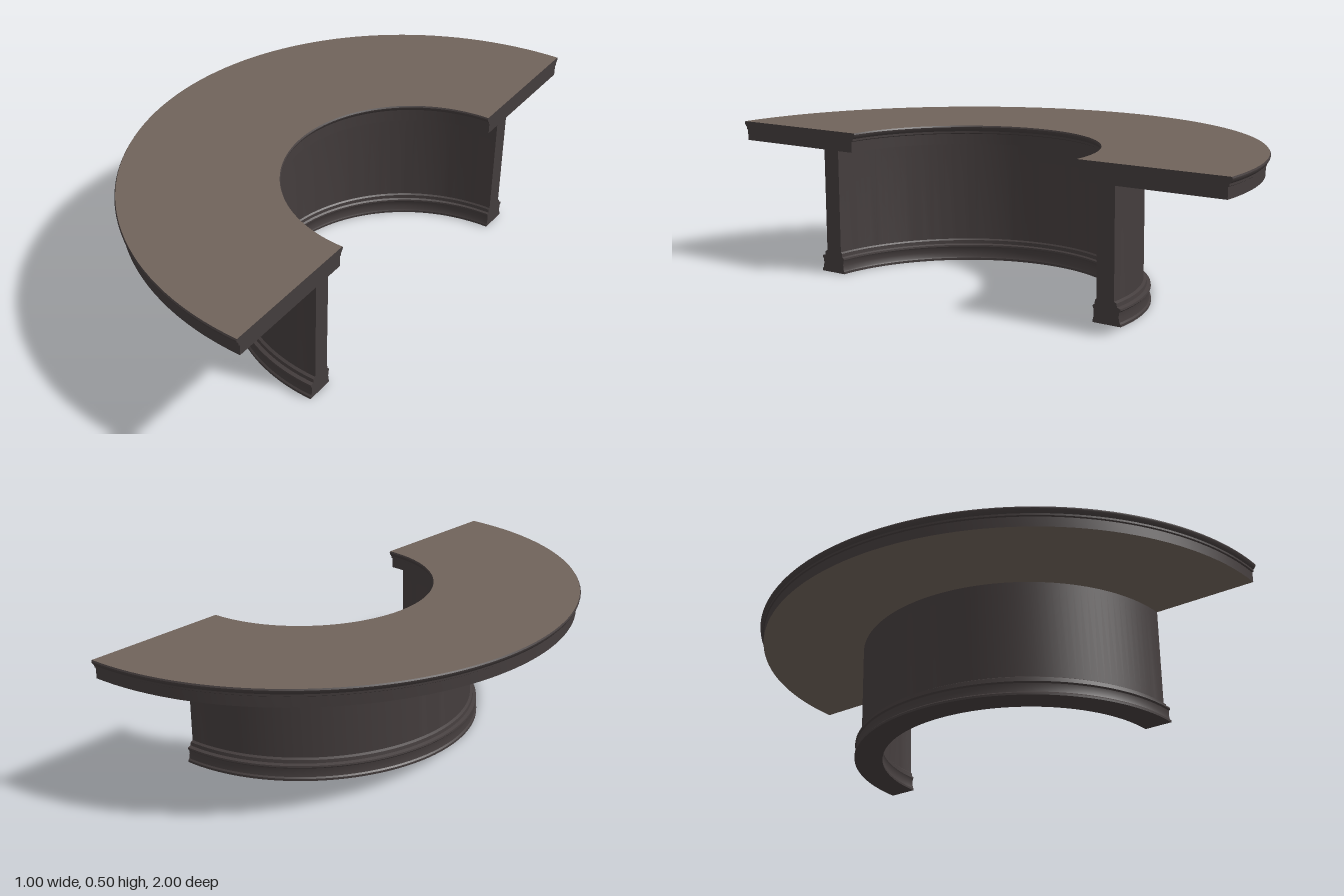
import * as THREE from 'three';
import { toCreasedNormals } from 'three/addons/utils/BufferGeometryUtils.js';

const SEGMENTS = 72;

export function createModel() {
  const darkWood = new THREE.MeshStandardMaterial({ color: 0x443d3d });
  darkWood.name = 'darkWood';
  const brownTop = new THREE.MeshStandardMaterial({ color: 0x70635a });
  brownTop.name = 'brownTop';

  const desk = new THREE.Group();
  desk.name = 'halfRoundCounter';

  const add = (geometry, material, name) => {
    const mesh = new THREE.Mesh(geometry, material);
    mesh.name = name;
    desk.add(mesh);
    return mesh;
  };

  // Sweep a [radius, height] profile through the half circle on the -x side
  const sweep = (profile, material, name) => {
    const points = profile.map(([r, y]) => new THREE.Vector2(r, y));
    const lathe = new THREE.LatheGeometry(points, SEGMENTS, Math.PI, Math.PI);
    return add(toCreasedNormals(lathe, 0.45), material, name);
  };

  // Close both cut ends of a profile with flat faces towards +x
  const capEnds = (profile, name) => {
    for (const side of [-1, 1]) {
      const shape = new THREE.Shape(profile.map(([r, y]) => new THREE.Vector2(r * side, y)));
      const cap = add(new THREE.ShapeGeometry(shape), darkWood, name + (side > 0 ? 'Back' : 'Front'));
      cap.rotation.y = Math.PI / 2;
    }
  };

  // Curved wall with a moulded plinth outside and a shallower one inside
  const wallOuter = [
    [0.628, 0], [0.628, 0.008], [0.623, 0.013], [0.62, 0.03], [0.622, 0.045],
    [0.627, 0.05], [0.626, 0.056], [0.614, 0.06], [0.612, 0.072], [0.603, 0.077], [0.603, 0.437],
  ];
  const wallInner = wallOuter.map(([r, y]) => [0.538 - (r - 0.603) * 0.55, y]).reverse();
  const wall = [...wallOuter, ...wallInner];
  sweep(wallOuter, darkWood, 'outerWall');
  sweep(wallInner, darkWood, 'innerWall');
  sweep([wallInner.at(-1), wallOuter[0]], darkWood, 'wallBottom');
  capEnds(wall, 'wallEnd');

  // Countertop with moulded rims
  const rim = [
    [0.985, 0.437], [0.985, 0.474], [0.99, 0.477], [0.99, 0.484],
    [0.994, 0.488], [0.999, 0.495], [1, 0.5], [0.997, 0.505],
  ];
  const innerRim = rim.map(([r, y]) => [1.459 - r, y]).reverse();
  sweep(rim, darkWood, 'outerRim');
  sweep(innerRim, darkWood, 'innerRim');
  sweep([rim.at(-1), innerRim[0]], brownTop, 'counterTop');
  sweep([innerRim.at(-1), rim[0]], brownTop, 'counterUnderside');
  capEnds([...rim, ...innerRim], 'counterEnd');

  // The circle's centre lies on the cut plane
  desk.children.forEach((part) => { part.position.x = 0.5; });
  return desk;
}
